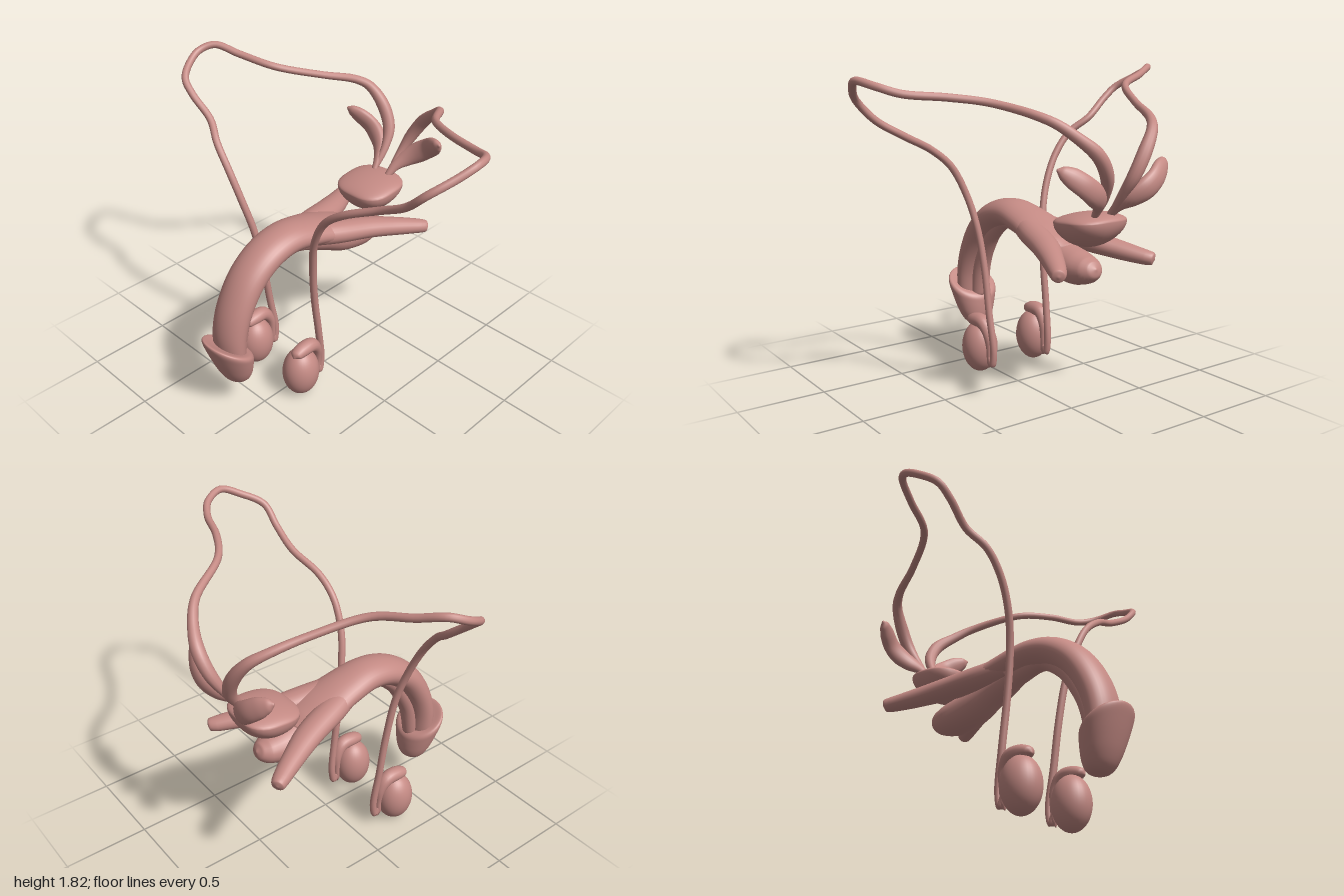
import * as THREE from 'three';
import { mergeVertices } from 'three/addons/utils/BufferGeometryUtils.js';

const CX = -0.11; // plane of symmetry of the central organs

// Smooth closed tube through sections [x, y, z, sideRadius, upRadius]
function loft(sections, steps, ref = [1, 0, 0], sides = 24) {
  const path = new THREE.CatmullRomCurve3(sections.map(s => new THREE.Vector3(s[0], s[1], s[2])));
  const size = new THREE.CatmullRomCurve3(
    sections.map(s => new THREE.Vector3(s[3], s[4] ?? s[3], 0)), false, 'catmullrom', 0.4);
  const side = new THREE.Vector3(...ref), up = new THREE.Vector3();
  const pos = [], index = [];
  for (let i = 0; i <= steps; i++) {
    const u = i / steps, c = path.getPoint(u), t = path.getTangent(u), r = size.getPoint(u);
    side.addScaledVector(t, -side.dot(t)).normalize();
    up.crossVectors(t, side);
    for (let j = 0; j < sides; j++) {
      const a = j / sides * Math.PI * 2;
      const p = c.clone().addScaledVector(side, Math.cos(a) * r.x).addScaledVector(up, Math.sin(a) * r.y);
      pos.push(p.x, p.y, p.z);
      if (i < steps) {
        const k = i * sides, n = (j + 1) % sides;
        index.push(k + j, k + n, k + sides + j, k + n, k + sides + n, k + sides + j);
      }
    }
  }
  // end caps
  const first = pos.length / 3, last = steps * sides;
  const p0 = path.getPoint(0), p1 = path.getPoint(1);
  pos.push(p0.x, p0.y, p0.z, p1.x, p1.y, p1.z);
  for (let j = 0; j < sides; j++) {
    const n = (j + 1) % sides;
    index.push(first, n, j, first + 1, last + j, last + n);
  }
  const g = new THREE.BufferGeometry();
  g.setAttribute('position', new THREE.Float32BufferAttribute(pos, 3));
  g.setIndex(index);
  g.computeVertexNormals();
  return g;
}

// Move every vertex by a rule, then smooth the normals over the seams
function reshape(geo, rule) {
  geo.deleteAttribute('uv');
  geo.deleteAttribute('normal');
  const g = mergeVertices(geo, 1e-5), p = g.attributes.position, v = new THREE.Vector3();
  for (let i = 0; i < p.count; i++) {
    rule(v.fromBufferAttribute(p, i));
    p.setXYZ(i, v.x, v.y, v.z);
  }
  g.computeVertexNormals();
  return g;
}

export function createModel() {
  const group = new THREE.Group();
  group.name = 'reproductiveAnatomy';
  const tissue = new THREE.MeshStandardMaterial({ color: 0xc48a84 });
  tissue.name = 'tissue pink';
  const add = (name, geo) => {
    const m = new THREE.Mesh(geo, tissue);
    m.name = name;
    group.add(m);
    return m;
  };
  // sections on the symmetry plane: [z, y, a, b]
  const central = list => list.map(([z, y, a, b]) => [CX, y, z, a, b]);

  // upper erectile body
  add('corpusCavernosum', loft(central([
    [0.645, 0.38, 0.11, 0.07], [0.635, 0.55, 0.115, 0.08], [0.585, 0.7, 0.118, 0.083],
    [0.485, 0.85, 0.12, 0.084], [0.35, 0.945, 0.122, 0.083], [0.2, 0.978, 0.125, 0.081],
    [0.03, 0.95, 0.14, 0.078], [-0.13, 0.905, 0.16, 0.07], [-0.25, 0.875, 0.13, 0.05],
    [-0.33, 0.86, 0.05, 0.02]]), 60, [1, 0, 0], 32));

  // lower erectile body, swelling into the bulb
  add('corpusSpongiosum', loft(central([
    [0.59, 0.38, 0.05, 0.05], [0.555, 0.58, 0.055, 0.055], [0.5, 0.7, 0.055, 0.055],
    [0.41, 0.83, 0.055, 0.055], [0.27, 0.925, 0.055, 0.055], [0.1, 0.91, 0.065, 0.06],
    [-0.08, 0.855, 0.085, 0.08], [-0.25, 0.795, 0.105, 0.1], [-0.4, 0.768, 0.11, 0.097],
    [-0.5, 0.77, 0.085, 0.073], [-0.545, 0.78, 0.05, 0.045], [-0.56, 0.785, 0.005, 0.005]]), 60));

  // glans: lathed cap with a slanted rim
  const profile = [[0, -0.25], [0.05, -0.245], [0.085, -0.22], [0.112, -0.17], [0.132, -0.11],
    [0.148, -0.05], [0.156, -0.01], [0.15, 0.012], [0.13, 0.018], [0.08, 0.01], [0, 0]];
  const curve = new THREE.SplineCurve(profile.map(p => new THREE.Vector2(...p)));
  const glansPoints = curve.getPoints(40).map(p => new THREE.Vector2(Math.max(p.x, 0), p.y));
  add('glans', reshape(new THREE.LatheGeometry(glansPoints, 40), v => {
    const slant = 0.52 * Math.max(0, 1 + v.y / 0.25), dz = v.z * 0.84;
    v.set(v.x + CX, 0.45 + v.y + dz * slant, 0.66 + 0.24 * v.y + dz);
  }));

  // prostate: bowl with a flattish top
  add('prostate', reshape(new THREE.SphereGeometry(1, 40, 28), v => {
    const square = 1 + 0.45 * v.x * v.x * v.z * v.z;
    const y = v.y * (v.y > 0 ? 0.05 : 0.14);
    v.set(CX + v.x * 0.18 * square, 1.04 + y - v.z * 0.015, -0.5 + v.z * 0.17 * square);
  }));

  for (const s of [-1, 1]) {
    const label = s > 0 ? 'left' : 'right';
    const paired = list => list.map(([x, y, z, a, b]) => [CX + s * x, y, z, a, b]);

    // diverging roots
    add(label + 'Crus', loft(paired([
      [0.05, 0.945, 0.06, 0.06, 0.06], [0.095, 0.91, -0.13, 0.082, 0.066],
      [0.155, 0.88, -0.32, 0.078, 0.06], [0.23, 0.848, -0.48, 0.062, 0.052],
      [0.3, 0.822, -0.61, 0.048, 0.042], [0.325, 0.815, -0.648, 0.035, 0.034],
      [0.33, 0.813, -0.656, 0.005, 0.005]]), 36));

    // seminal vesicle: flattened lobed leaf
    add(label + 'SeminalVesicle', loft(paired([
      [0.05, 1.07, -0.59, 0.018, 0.018], [0.07, 1.13, -0.64, 0.03, 0.022],
      [0.11, 1.18, -0.7, 0.052, 0.034], [0.17, 1.225, -0.735, 0.062, 0.038],
      [0.23, 1.27, -0.74, 0.06, 0.034], [0.29, 1.315, -0.715, 0.055, 0.032],
      [0.335, 1.345, -0.69, 0.036, 0.024], [0.362, 1.36, -0.675, 0.006, 0.006]]),
      40, [-s * 0.6, 0.8, 0], 20));

    // testis
    const testis = add(label + 'Testis', new THREE.SphereGeometry(1, 32, 24));
    testis.scale.set(0.105, 0.155, 0.112);
    testis.position.set(CX + s * 0.2 - 0.008, 0.167, 0.28);

    // epididymis over the top and down the back
    add(label + 'Epididymis', loft(paired([
      [0.215, 0.315, 0.355, 0.005, 0.005], [0.212, 0.325, 0.335, 0.035, 0.03],
      [0.21, 0.335, 0.28, 0.045, 0.042], [0.21, 0.33, 0.21, 0.043, 0.042],
      [0.205, 0.27, 0.165, 0.036, 0.03], [0.2, 0.18, 0.155, 0.026, 0.02],
      [0.2, 0.1, 0.16, 0.02, 0.017], [0.2, 0.065, 0.165, 0.004, 0.004]]), 40, [1, 0, 0], 16));
  }

  // vas deferens: each side follows its own path, thickest near the prostate
  const ampulla = [0.017, 0.025, 0.036, 0.038, 0.03, 0.025];
  const ducts = {
    rightVasDeferens: [
      [-0.165, 1.08, -0.6], [-0.165, 1.2, -0.69], [-0.19, 1.3, -0.745], [-0.25, 1.42, -0.755],
      [-0.33, 1.53, -0.72], [-0.38, 1.58, -0.65], [-0.46, 1.645, -0.45], [-0.6, 1.725, -0.21],
      [-0.8, 1.775, -0.11], [-0.93, 1.815, -0.04], [-0.975, 1.79, 0.04], [-0.96, 1.75, 0.12],
      [-0.9, 1.69, 0.21], [-0.82, 1.62, 0.225], [-0.69, 1.51, 0.215], [-0.58, 1.42, 0.265],
      [-0.48, 1.29, 0.275], [-0.4, 1.12, 0.26], [-0.345, 0.92, 0.225], [-0.322, 0.65, 0.185],
      [-0.318, 0.4, 0.15], [-0.31, 0.17, 0.12], [-0.31, 0.09, 0.135], [-0.31, 0.13, 0.155]],
    leftVasDeferens: [
      [-0.055, 1.08, -0.6], [-0.045, 1.2, -0.69], [-0.01, 1.31, -0.745], [0.06, 1.42, -0.76],
      [0.16, 1.51, -0.72], [0.26, 1.59, -0.64], [0.43, 1.67, -0.39], [0.62, 1.7, -0.275],
      [0.83, 1.72, -0.2], [0.93, 1.755, -0.13], [0.98, 1.78, -0.01], [0.945, 1.735, 0.1],
      [0.87, 1.665, 0.215], [0.76, 1.56, 0.225], [0.6, 1.47, 0.22], [0.4, 1.375, 0.265],
      [0.27, 1.27, 0.27], [0.18, 1.1, 0.255], [0.13, 0.9, 0.22], [0.105, 0.65, 0.185],
      [0.1, 0.4, 0.15], [0.09, 0.17, 0.12], [0.09, 0.09, 0.135], [0.09, 0.13, 0.155]],
  };
  for (const [name, pts] of Object.entries(ducts)) {
    add(name, loft(pts.map((p, i) => [...p, ampulla[i] ?? 0.021]), 150, [1, 0, 0], 12));
  }
  return group;
}
